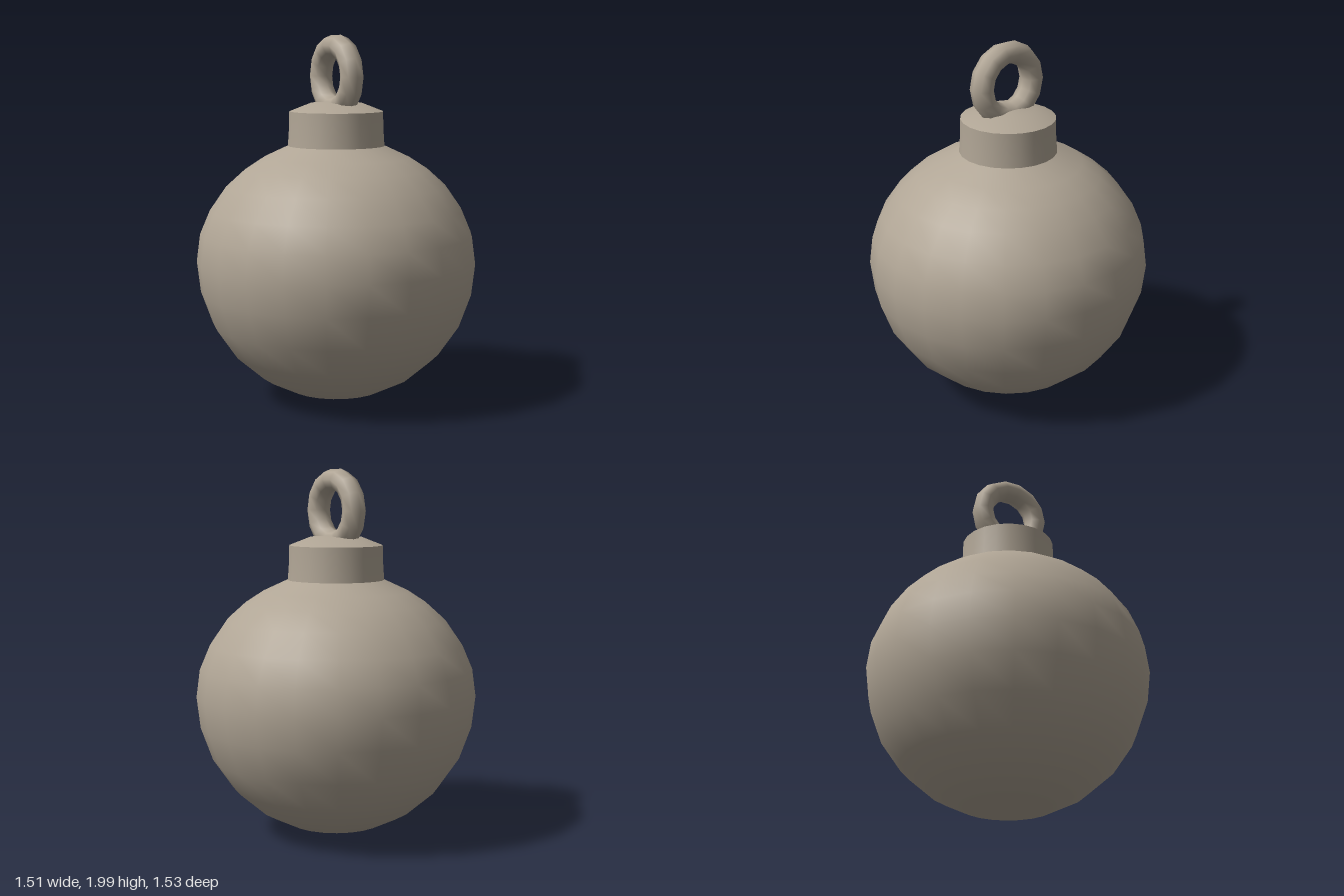
import * as THREE from 'three';

const SEGMENTS = 22;

// Turned part from a bottom-to-top profile of [radius, height] pairs
function turned(name, profile, material) {
  const points = profile.map(([r, y]) => new THREE.Vector2(r, y));
  const mesh = new THREE.Mesh(new THREE.LatheGeometry(points, SEGMENTS), material);
  mesh.name = name;
  return mesh;
}

export function createModel() {
  const group = new THREE.Group();
  group.name = 'bauble';
  const clay = new THREE.MeshStandardMaterial({ color: 0xb0a595 });
  clay.name = 'warm grey';

  // Round body, drawn in a little towards the neck
  group.add(turned('body', [
    [0, 0], [0.12, 0.015], [0.26, 0.05], [0.42, 0.13], [0.57, 0.26],
    [0.68, 0.42], [0.745, 0.6], [0.765, 0.77], [0.745, 0.92], [0.69, 1.05],
    [0.6, 1.18], [0.5, 1.27], [0.4, 1.335], [0.25, 1.405],
  ], clay));

  // Neck collar with a shallow domed lid
  group.add(turned('neck', [[0.265, 1.38], [0.258, 1.48], [0.255, 1.585]], clay));
  group.add(turned('neckLid', [[0.255, 1.585], [0.14, 1.63], [0, 1.64]], clay));

  // Hanging loop, sunk into the lid and turned slightly
  const loop = new THREE.Mesh(new THREE.TorusGeometry(0.168, 0.06, 8, 14), clay);
  loop.name = 'hangingLoop';
  loop.position.set(0.005, 1.772, 0.005);
  loop.rotation.y = -0.13;
  loop.scale.z = 1.1;
  group.add(loop);

  return group;
}
